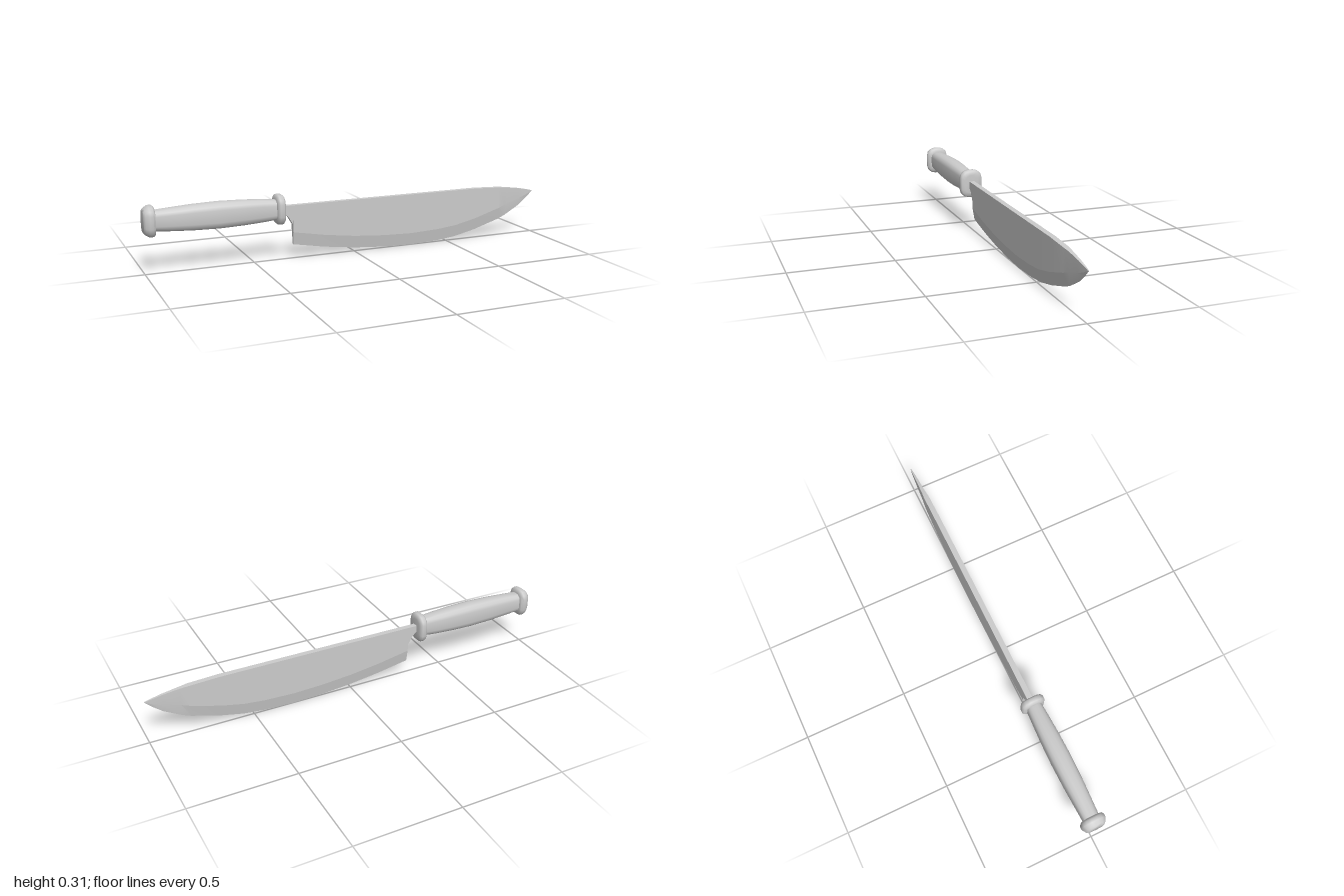
import * as THREE from 'three';
import { toCreasedNormals } from 'three/addons/utils/BufferGeometryUtils.js';

const AXIS_Y = 0.24; // height of the handle's centre line

// Skin a list of { x, ring: [[y, z], ...] } sections running along +x, with end caps
function loft(sections, crease) {
  const n = sections[0].ring.length;
  const pos = [], idx = [];
  for (const s of sections) for (const [y, z] of s.ring) pos.push(s.x, y, z);
  for (let i = 0; i < sections.length - 1; i++) {
    for (let j = 0; j < n; j++) {
      const a = i * n + j, b = i * n + (j + 1) % n;
      idx.push(a, b, b + n, a, b + n, a + n);
    }
  }
  const last = (sections.length - 1) * n;
  for (let j = 1; j < n - 1; j++) {
    idx.push(0, j + 1, j, last, last + j, last + j + 1);
  }
  const g = new THREE.BufferGeometry();
  g.setAttribute('position', new THREE.Float32BufferAttribute(pos, 3));
  g.setIndex(idx);
  return toCreasedNormals(g, crease);
}

// Rounded rectangle with half height hy and half width hz
function roundedRing(hy, hz) {
  const r = hz * 0.73, ring = [];
  for (let q = 0; q < 4; q++) {
    const sy = q === 0 || q === 3 ? 1 : -1, sz = q < 2 ? 1 : -1;
    for (let k = 0; k <= 3; k++) {
      const a = (q + k / 3) * Math.PI / 2;
      ring.push([AXIS_Y + sy * (hy - r) + r * Math.cos(a), sz * (hz - r) + r * Math.sin(a)]);
    }
  }
  return ring;
}

const gripLoft = (rows) =>
  loft(rows.map(([x, hy, hz]) => ({ x, ring: roundedRing(hy, hz) })), 0.95);

// Blade section: flat spine, parallel cheeks, then a bevel down to the edge
function bladeSection([x, top, bottom, t, edge]) {
  const bevel = bottom + Math.min(0.06, (top - bottom) * 0.4);
  return {
    x,
    ring: [[top, -t], [top, t], [bevel, t], [bottom, edge], [bottom, -edge], [bevel, -t]],
  };
}

export function createModel() {
  const group = new THREE.Group();
  const material = new THREE.MeshStandardMaterial({ color: 0xcccccc });
  const add = (name, geometry) => {
    const mesh = new THREE.Mesh(geometry, material);
    mesh.name = name;
    group.add(mesh);
  };

  // Grip swelling gently in the middle: x, half height, half width
  add('handle', gripLoft([
    [-0.97, 0.046, 0.035], [-0.88, 0.052, 0.039], [-0.78, 0.058, 0.043], [-0.66, 0.061, 0.045],
    [-0.55, 0.058, 0.043], [-0.46, 0.053, 0.039], [-0.37, 0.045, 0.034],
  ]));

  // Chamfered butt cap
  add('pommel', gripLoft([
    [-1, 0.05, 0.038], [-0.993, 0.058, 0.046], [-0.975, 0.07, 0.056],
    [-0.96, 0.07, 0.056], [-0.951, 0.063, 0.05], [-0.948, 0.045, 0.034],
  ]));

  // Rounded collar in front of the grip
  add('guard', gripLoft([
    [-0.396, 0.045, 0.034], [-0.393, 0.063, 0.05], [-0.385, 0.07, 0.056],
    [-0.367, 0.07, 0.056], [-0.359, 0.063, 0.05], [-0.356, 0.045, 0.034],
  ]));

  // Blade: x, spine height, edge height, half thickness, half thickness at the edge
  const t = 0.013;
  add('blade', loft([
    [-0.37, 0.254, 0.222, t, t],
    [-0.355, 0.254, 0.22, t, t],
    [-0.335, 0.254, 0.202, t, t],
    [-0.312, 0.254, 0.163, t, t],
    [-0.31, 0.254, 0.066, t, 0.003],
    [-0.15, 0.254, 0.037, t, 0.002],
    [0, 0.254, 0.017, t, 0.002],
    [0.15, 0.254, 0.005, t, 0.002],
    [0.3, 0.254, 0, t, 0.002],
    [0.45, 0.254, 0.006, t, 0.002],
    [0.55, 0.254, 0.017, t, 0.002],
    [0.66, 0.254, 0.041, t, 0.002],
    [0.8, 0.248, 0.083, 0.0125, 0.002],
    [0.84, 0.244, 0.1, 0.009, 0.002],
    [0.92, 0.233, 0.145, 0.006, 0.002],
    [0.97, 0.223, 0.185, 0.004, 0.0015],
    [1, 0.216, 0.214, 0.002, 0.001],
  ].map(bladeSection), 0.15));

  return group;
}
